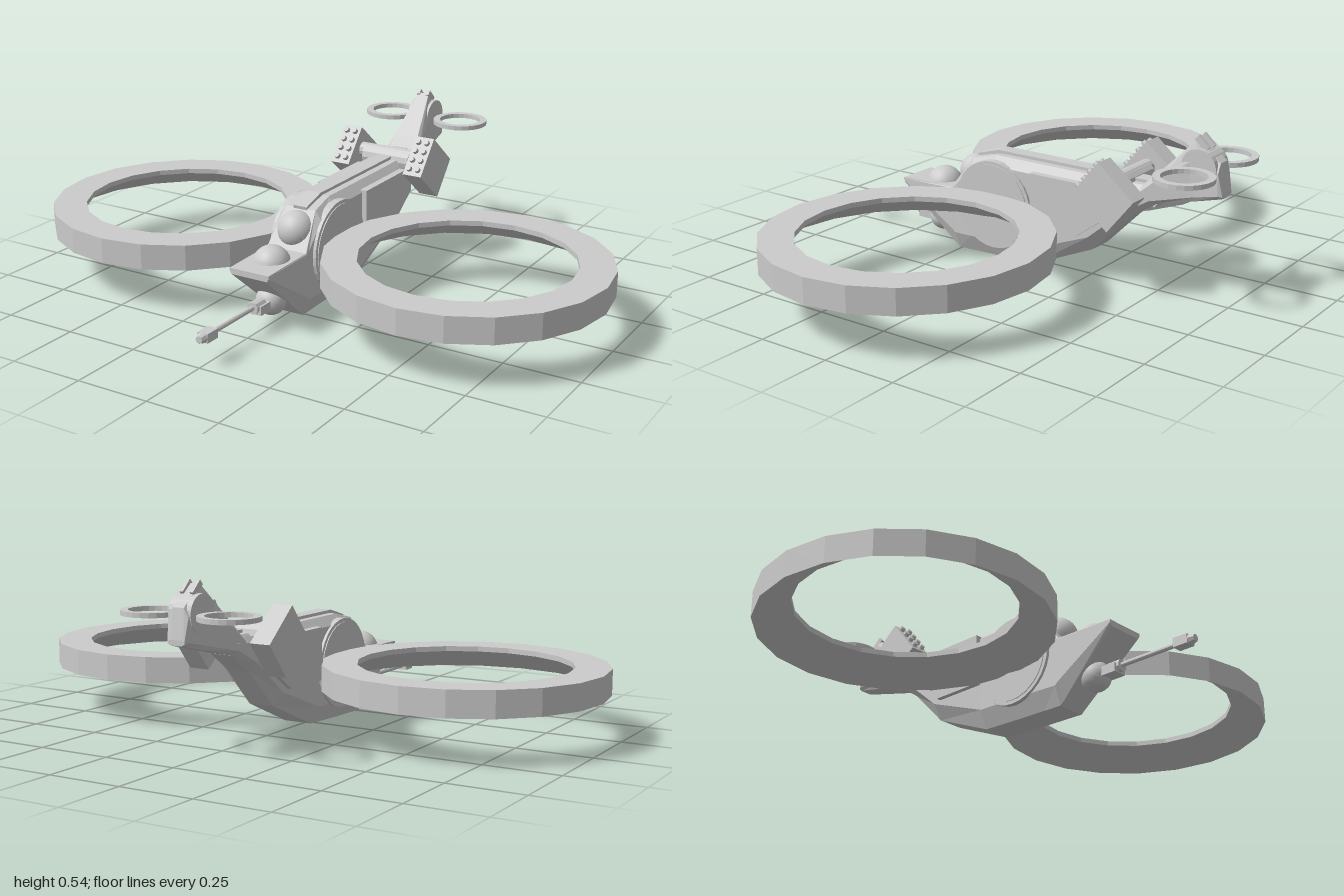
import * as THREE from 'three';

const flat = new THREE.MeshStandardMaterial({ color: 0xcccccc, flatShading: true });
const smooth = new THREE.MeshStandardMaterial({ color: 0xcccccc });

function add(parent, name, geometry, pos = [0, 0, 0], rot = [0, 0, 0], material = flat) {
  const mesh = new THREE.Mesh(geometry, material);
  mesh.name = name;
  mesh.position.set(...pos);
  mesh.rotation.set(...rot);
  parent.add(mesh);
  return mesh;
}

// Octagonal loft, front to back. Station: [z, bottom, top, half widths (bottom, middle, top), chamfer heights (bottom, top)]
function loft(stations) {
  const rings = stations.map(([z, yb, yt, wb, w, wt, cb, ct]) => {
    const right = [[wb, yb], [w, yb + cb], [w, yt - ct], [wt, yt]];
    const left = right.map(([x, y]) => [-x, y]).reverse();
    return [...right, ...left].map(([x, y]) => [x, y, z]);
  });
  const pos = [];
  const tri = (a, b, c) => pos.push(...a, ...b, ...c);
  for (let i = 0; i < rings.length - 1; i++) {
    for (let j = 0; j < 8; j++) {
      const k = (j + 1) % 8;
      const a = rings[i][j], b = rings[i][k], c = rings[i + 1][k], d = rings[i + 1][j];
      tri(a, d, c);
      tri(a, c, b);
    }
  }
  const front = rings[0], back = rings[rings.length - 1];
  for (let j = 1; j < 7; j++) {
    tri(front[0], front[j], front[j + 1]);
    tri(back[0], back[j + 1], back[j]);
  }
  const g = new THREE.BufferGeometry();
  g.setAttribute('position', new THREE.Float32BufferAttribute(pos, 3));
  g.computeVertexNormals();
  return g;
}

// Side outline of [z, y] points extruded across x, centred
function sidePlate(points, width) {
  const shape = new THREE.Shape(points.map(([z, y]) => new THREE.Vector2(-z, y)));
  const g = new THREE.ExtrudeGeometry(shape, { depth: width, bevelEnabled: false });
  return g.translate(0, 0, -width / 2).rotateY(Math.PI / 2);
}

// Closed ring turned from a [radius, y] section
function ring(section, segments) {
  const pts = [...section, section[0]].map(([r, y]) => new THREE.Vector2(r, y));
  return new THREE.LatheGeometry(pts, segments);
}

const ACROSS = [0, 0, Math.PI / 2];
const ALONG = [Math.PI / 2, 0, 0];

export function createModel() {
  const model = new THREE.Group();
  model.name = 'ductedGunship';

  // Fuselage, with the flat nose deck and sloping windscreen bulkhead
  add(model, 'fuselage', loft([
    [0.485, 0.195, 0.215, 0.065, 0.072, 0.072, 0.01, 0.004],
    [0.275, 0.012, 0.22, 0.05, 0.075, 0.072, 0.06, 0.004],
    [0.26, 0.0, 0.24, 0.05, 0.075, 0.07, 0.06, 0.015],
    [0.19, 0.002, 0.335, 0.05, 0.078, 0.055, 0.06, 0.03],
    [0.10, 0.004, 0.357, 0.05, 0.078, 0.05, 0.06, 0.03],
    [-0.06, 0.01, 0.357, 0.05, 0.078, 0.05, 0.06, 0.03],
    [-0.28, 0.105, 0.357, 0.045, 0.078, 0.05, 0.05, 0.03],
    [-0.41, 0.235, 0.357, 0.04, 0.072, 0.048, 0.03, 0.03],
    [-0.50, 0.298, 0.357, 0.04, 0.058, 0.04, 0.02, 0.02],
  ]));

  // Raised spine on the roof
  add(model, 'spine', sidePlate(
    [[0.19, 0.32], [0.195, 0.342], [0.11, 0.367], [-0.48, 0.367], [-0.48, 0.32]], 0.05));

  // Tail boom that rises to a narrow crest
  add(model, 'tailBoom', loft([
    [-0.46, 0.285, 0.357, 0.04, 0.064, 0.045, 0.02, 0.02],
    [-0.51, 0.302, 0.400, 0.04, 0.056, 0.045, 0.015, 0.02],
    [-0.635, 0.332, 0.528, 0.03, 0.038, 0.02, 0.015, 0.06],
    [-0.715, 0.352, 0.465, 0.025, 0.036, 0.02, 0.012, 0.03],
    [-0.728, 0.355, 0.372, 0.02, 0.03, 0.02, 0.006, 0.006],
  ]));

  // Two tandem canopies
  add(model, 'frontCanopy', new THREE.SphereGeometry(0.062, 24, 16), [0, 0.2, 0.36], [0, 0, 0], smooth);
  add(model, 'rearCanopy', new THREE.SphereGeometry(0.062, 24, 16), [0, 0.27, 0.215], [0, 0, 0], smooth);

  // Chin gun, pointing forward
  const gun = new THREE.Group();
  gun.name = 'chinGun';
  model.add(gun);
  add(gun, 'turretBall', new THREE.SphereGeometry(0.05, 20, 14), [0, 0.082, 0.365], [0, 0, 0], smooth);
  add(gun, 'gunMount', new THREE.BoxGeometry(0.05, 0.03, 0.07), [0, 0.08, 0.425]);
  add(gun, 'gunBreech', new THREE.CylinderGeometry(0.02, 0.02, 0.05, 10), [0, 0.088, 0.445], ALONG);
  add(gun, 'gunBarrel', new THREE.CylinderGeometry(0.008, 0.008, 0.24, 10), [0, 0.09, 0.57], ALONG);
  add(gun, 'muzzle', new THREE.BoxGeometry(0.036, 0.03, 0.052), [0, 0.09, 0.703]);
  add(gun, 'muzzleTip', new THREE.CylinderGeometry(0.012, 0.018, 0.02, 8), [0, 0.09, 0.738], ALONG);

  // Hub discs run through the hull and the tail
  add(model, 'rotorHub', new THREE.CylinderGeometry(0.15, 0.15, 0.174, 32), [0, 0.195, 0.09], ACROSS);
  add(model, 'rotorHubCap', new THREE.CylinderGeometry(0.138, 0.138, 0.18, 32), [0, 0.195, 0.09], ACROSS);
  add(model, 'tailHub', new THREE.CylinderGeometry(0.06, 0.06, 0.08, 24), [0, 0.442, -0.65], ACROSS);
  add(model, 'podAxle', new THREE.CylinderGeometry(0.026, 0.026, 0.24, 12), [0, 0.365, -0.387], ACROSS);
  add(model, 'podAxleCollar', new THREE.CylinderGeometry(0.038, 0.038, 0.18, 12), [0, 0.35, -0.387], ACROSS);

  // Raised panel on both flanks
  add(model, 'sidePanels', sidePlate(
    [[-0.065, 0.335], [-0.065, 0.16], [-0.25, 0.16], [-0.375, 0.25], [-0.375, 0.29], [-0.335, 0.335]], 0.19));

  const ductGeo = ring([[0.458, 0.15], [0.458, 0.235], [0.345, 0.235], [0.345, 0.218]], 20);
  const tailRingGeo = ring([[0.095, 0.43], [0.095, 0.445], [0.072, 0.445], [0.072, 0.43]], 24);

  for (const [side, s] of [['left', 1], ['right', -1]]) {
    // Large rotor duct and small tail ring
    add(model, side + 'RotorDuct', ductGeo, [s * 0.54, 0, 0.077]);
    add(model, side + 'TailRing', tailRingGeo, [s * 0.138, 0, -0.657]);

    // Tilted launcher pod with a grid of tubes in its front face
    const pod = new THREE.Group();
    pod.name = side + 'LauncherPod';
    pod.position.set(s * 0.143, 0.338, -0.397);
    pod.rotation.x = -0.69;
    model.add(pod);
    add(pod, 'podBody', new THREE.BoxGeometry(0.07, 0.146, 0.165));
    for (const x of [-0.016, 0.016]) {
      for (let i = 0; i < 4; i++) {
        add(pod, 'launchTube', new THREE.CylinderGeometry(0.009, 0.012, 0.03, 10),
          [x, -0.05 + i * 0.034, 0.08], ALONG);
      }
    }
  }

  // Small prongs on the tail crest
  for (const s of [1, -1]) {
    add(model, 'tailProng', new THREE.BoxGeometry(0.012, 0.02, 0.05), [s * 0.018, 0.516, -0.65], [-0.75, 0, 0]);
  }

  return model;
}
